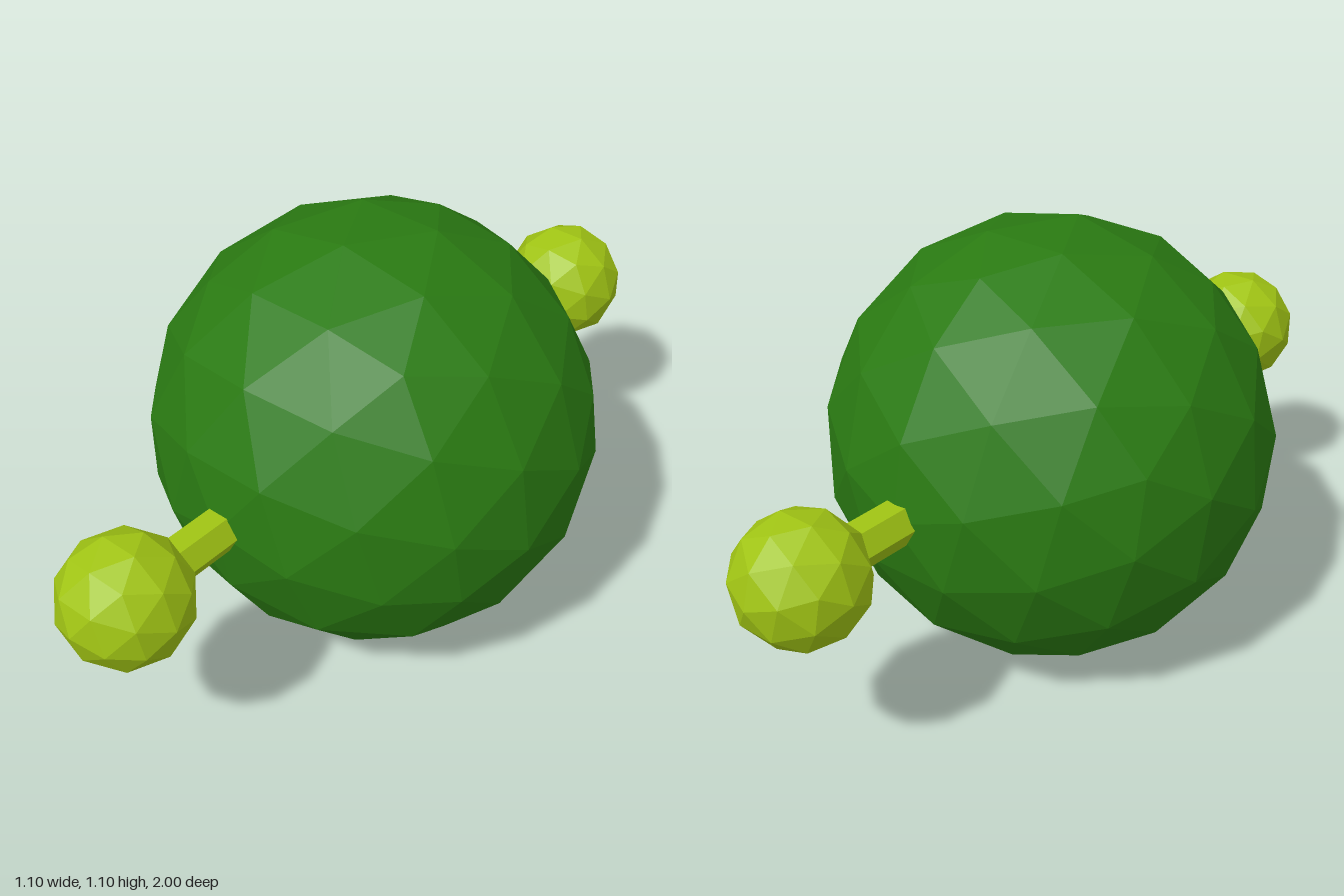
import * as THREE from 'three';

const CENTRE_Y = 0.55;
const TILT = Math.atan(2 / (1 + Math.sqrt(5))); // brings a vertex of the icosahedron onto the z axis

const material = (color) => new THREE.MeshStandardMaterial({ color, flatShading: true });

export function createModel() {
  const group = new THREE.Group();
  const darkGreen = material(0x2a7a12);
  const lime = material(0xa0c414);

  // Faceted ball with one vertex pointing along z
  function addBall(name, radius, detail, z, mat) {
    const geometry = new THREE.IcosahedronGeometry(radius, detail).rotateX(TILT);
    const ball = new THREE.Mesh(geometry, mat);
    ball.name = name;
    ball.position.set(0, CENTRE_Y, z);
    group.add(ball);
  }

  // Main body
  addBall('body', 0.56, 2, 0, darkGreen);

  // Small balls at the front and back
  addBall('frontBall', 0.16, 1, 0.84, lime);
  addBall('backBall', 0.16, 1, -0.84, lime);

  // Hexagonal rod running through the body and joining both balls
  const rodGeometry = new THREE.CylinderGeometry(0.056, 0.056, 1.6, 6)
    .rotateY(Math.PI / 6)
    .rotateX(Math.PI / 2);
  const rod = new THREE.Mesh(rodGeometry, lime);
  rod.name = 'rod';
  rod.position.y = CENTRE_Y;
  group.add(rod);

  return group;
}
